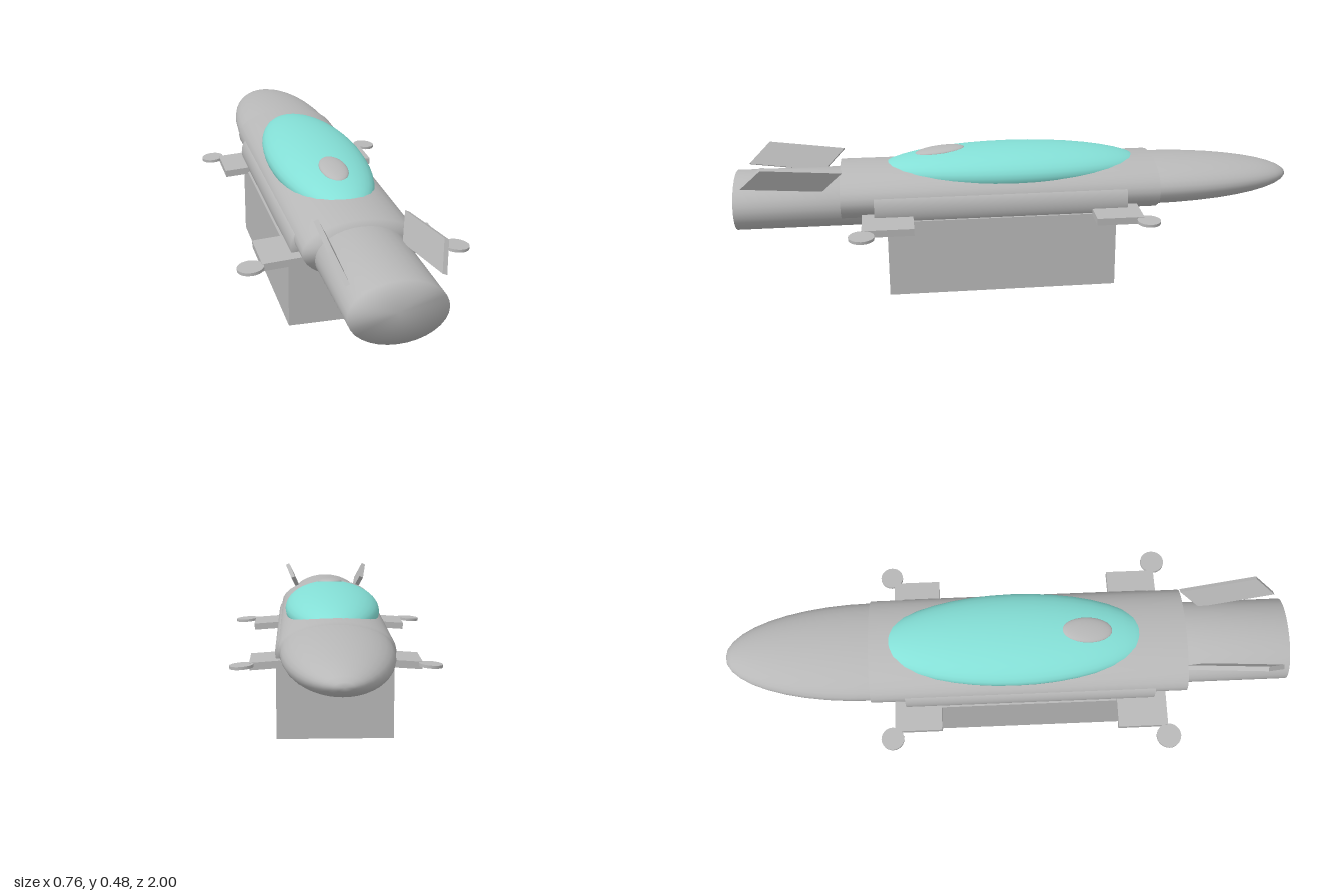
import * as THREE from 'three';
import { mergeVertices } from 'three/addons/utils/BufferGeometryUtils.js';

export function createModel() {
  const root = new THREE.Group();
  const grey = new THREE.MeshStandardMaterial({ color: 0xb8b8b8 });
  grey.name = 'hullGrey';
  const teal = new THREE.MeshStandardMaterial({ color: 0x84dfd6 });
  teal.name = 'canopyTeal';

  const add = (name, geometry, material = grey) => {
    const mesh = new THREE.Mesh(geometry, material);
    mesh.name = name;
    root.add(mesh);
    return mesh;
  };

  // Elliptical tube along z, with normals blended over the rims
  const tube = (rx, ry, z0, z1) => {
    let g = new THREE.CylinderGeometry(1, 1, 1, 32);
    g.deleteAttribute('uv');
    g.deleteAttribute('normal');
    g = mergeVertices(g);
    g.rotateX(Math.PI / 2).scale(rx, ry, z1 - z0).translate(0, 0, (z0 + z1) / 2);
    g.computeVertexNormals();
    return g;
  };
  const ellipsoid = (rx, ry, rz) => new THREE.SphereGeometry(1, 32, 20).rotateX(Math.PI / 2).scale(rx, ry, rz);

  // Hull
  add('fuselage', tube(0.19, 0.095, -0.48, 0.635)).position.y = 0.335;
  add('nose', ellipsoid(0.183, 0.085, 0.52)).position.set(0, 0.335, -0.48);
  add('tail', tube(0.15, 0.1, 0.525, 1)).position.y = 0.308;
  add('lowerBlock', new THREE.BoxGeometry(0.4, 0.27, 0.8)).position.set(0, 0.135, 0.08);

  // Canopy and the small blister on it
  add('canopy', ellipsoid(0.17, 0.08, 0.475), teal).position.set(0, 0.4, 0.03);
  const blister = add('canopyBlister', ellipsoid(0.047, 0.014, 0.088));
  blister.position.set(0, 0.463, 0.285);
  blister.rotation.x = 0.108;

  // Flat wing with a disc at its outer corner, drooping slightly
  const addWing = (name, side, reach, z0, z1, discX, discZ, discR) => {
    const wing = new THREE.Group();
    wing.name = name;
    const plate = new THREE.Mesh(new THREE.BoxGeometry(reach - 0.13, 0.025, z1 - z0), grey);
    plate.name = 'wingPlate';
    plate.position.set(side * ((reach + 0.13) / 2 - 0.2), 0, (z0 + z1) / 2);
    const disc = new THREE.Mesh(new THREE.CylinderGeometry(discR, discR, 0.01, 24), grey);
    disc.name = 'wingDisc';
    disc.position.set(side * (discX - 0.2), 0.006, discZ);
    wing.add(plate, disc);
    wing.position.set(side * 0.2, 0.275, 0);
    wing.rotation.z = -side * 0.07;
    root.add(wing);
  };

  // Slanted tail fin spanned by a length and a height vector
  const addFin = (name, side) => {
    const along = new THREE.Vector3(side * 0.026, 0.027, 0.27);
    const up = new THREE.Vector3(side * 0.03, 0.072, -0.075);
    const normal = along.clone().cross(up).normalize().multiplyScalar(0.016);
    const centre = new THREE.Vector3(side * 0.122, 0.365, 0.7)
      .addScaledVector(along, 0.5)
      .addScaledVector(up, 0.5)
      .addScaledVector(normal, side * 0.5);
    const g = new THREE.BoxGeometry(1, 1, 1);
    g.applyMatrix4(new THREE.Matrix4().makeBasis(along, up, normal).setPosition(centre));
    g.computeVertexNormals();
    add(name, g);
  };

  for (const [label, side] of [['left', 1], ['right', -1]]) {
    add(label + 'SidePod', tube(0.035, 0.054, -0.36, 0.522)).position.set(side * 0.166, 0.308, 0);
    addWing(label + 'FrontWing', side, 0.3, 0.39, 0.565, 0.338, 0.565, 0.043);
    addWing(label + 'RearWing', side, 0.285, -0.4, -0.235, 0.31, -0.41, 0.04);
    addFin(label + 'TailFin', side);
  }
  return root;
}
